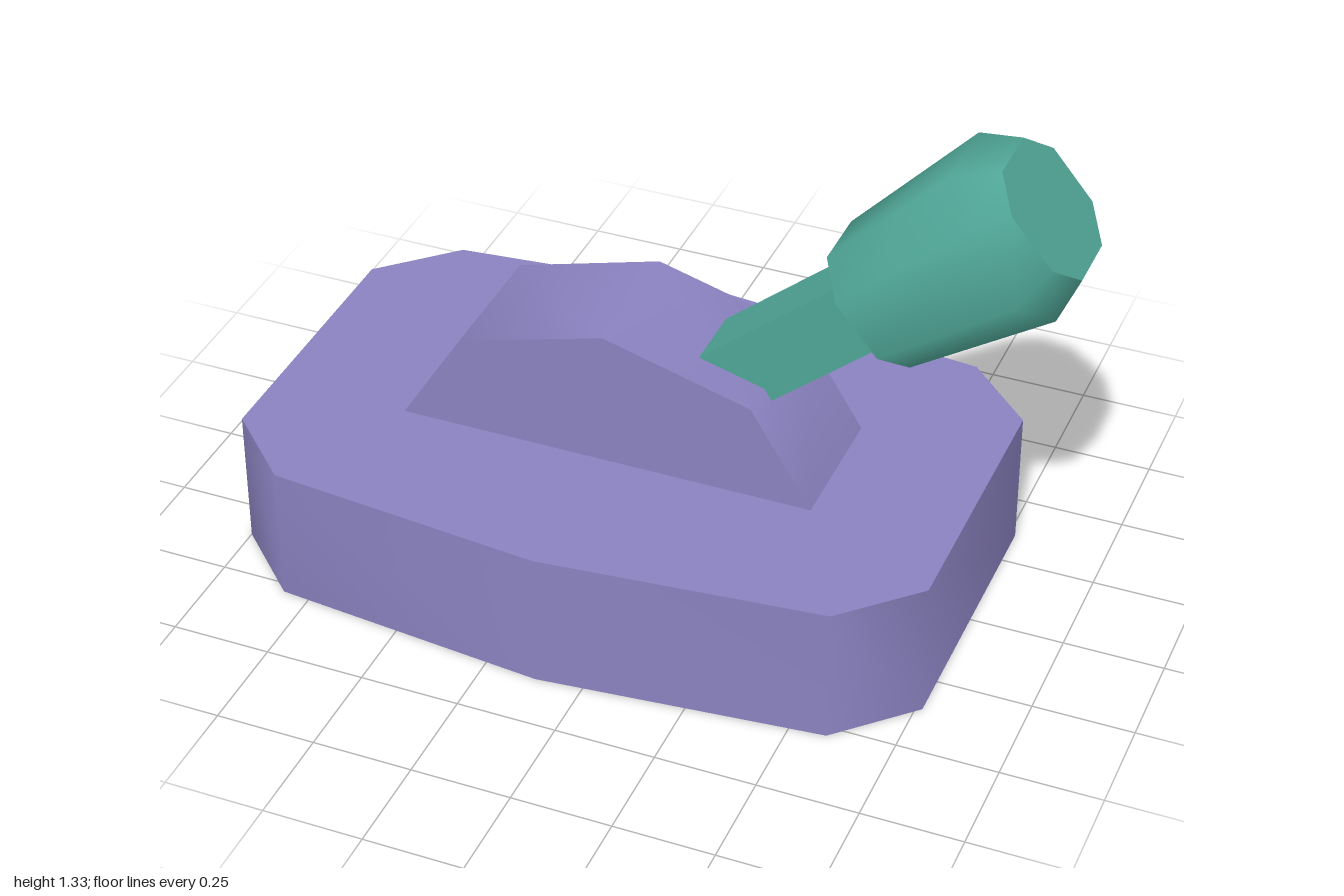
import * as THREE from 'three';
import { toCreasedNormals } from 'three/addons/utils/BufferGeometryUtils.js';

const purple = new THREE.MeshStandardMaterial({ color: 0x8a82c0 });
const teal = new THREE.MeshStandardMaterial({ color: 0x4fa596 });
const CREASE = 1.0;

const shapeOf = (pts) => new THREE.Shape(pts.map(([x, y]) => new THREE.Vector2(x, y)));

function addMesh(parent, name, geometry, material) {
  const mesh = new THREE.Mesh(toCreasedNormals(geometry, CREASE), material);
  mesh.name = name;
  parent.add(mesh);
  return mesh;
}

export function createModel() {
  const model = new THREE.Group();
  model.name = 'leverSwitch';

  // Base: bevelled-corner plate, outline mirrored front to back
  const half = [[-1, 0.357], [-0.82, 0.53], [-0.117, 0.6], [0.59, 0.53], [0.766, 0.357]];
  const outline = [...half, ...half.map(([x, z]) => [x, -z]).reverse()];
  const baseGeo = new THREE.ExtrudeGeometry(shapeOf(outline), { depth: 0.355, bevelEnabled: false });
  baseGeo.rotateX(-Math.PI / 2);
  addMesh(model, 'base', baseGeo, purple);

  // Hump: arched housing on top of the base
  const arch = [[-0.647, 0.355], [-0.49, 0.605], [-0.117, 0.709], [0.257, 0.605], [0.412, 0.355]];
  const humpGeo = new THREE.ExtrudeGeometry(shapeOf(arch), { depth: 0.354, bevelEnabled: false });
  humpGeo.translate(0, 0, -0.177);
  addMesh(model, 'hump', humpGeo, purple);

  // Lever: local y runs along the tilted lever, origin at the foot of the grip
  const lever = new THREE.Group();
  lever.name = 'lever';
  lever.position.set(0.505, 0.881, 0);
  lever.rotation.z = -THREE.MathUtils.degToRad(50.2);
  model.add(lever);

  // Shaft: square bar sunk into the hump
  const shaftGeo = new THREE.BoxGeometry(0.176, 0.75, 0.174);
  shaftGeo.translate(0, -0.3, 0);
  addMesh(lever, 'shaft', shaftGeo, teal);

  // Grip: octagonal prism whose three rings are resized and spaced along the lever
  const octagon = [[1, -0.5], [1, 0.5], [0.5, 1], [-0.5, 1], [-1, 0.5], [-1, -0.5], [-0.5, -1], [0.5, -1]];
  const rings = [[0, 0.163], [0.409, 0.205], [0.511, 0.154]];
  const gripGeo = new THREE.ExtrudeGeometry(shapeOf(octagon), { depth: 2, steps: 2, bevelEnabled: false });
  const pos = gripGeo.attributes.position;
  for (let i = 0; i < pos.count; i++) {
    const [along, radius] = rings[Math.round(pos.getZ(i))];
    pos.setXYZ(i, pos.getX(i) * radius, along, -pos.getY(i) * radius);
  }
  addMesh(lever, 'grip', gripGeo, teal);

  return model;
}
